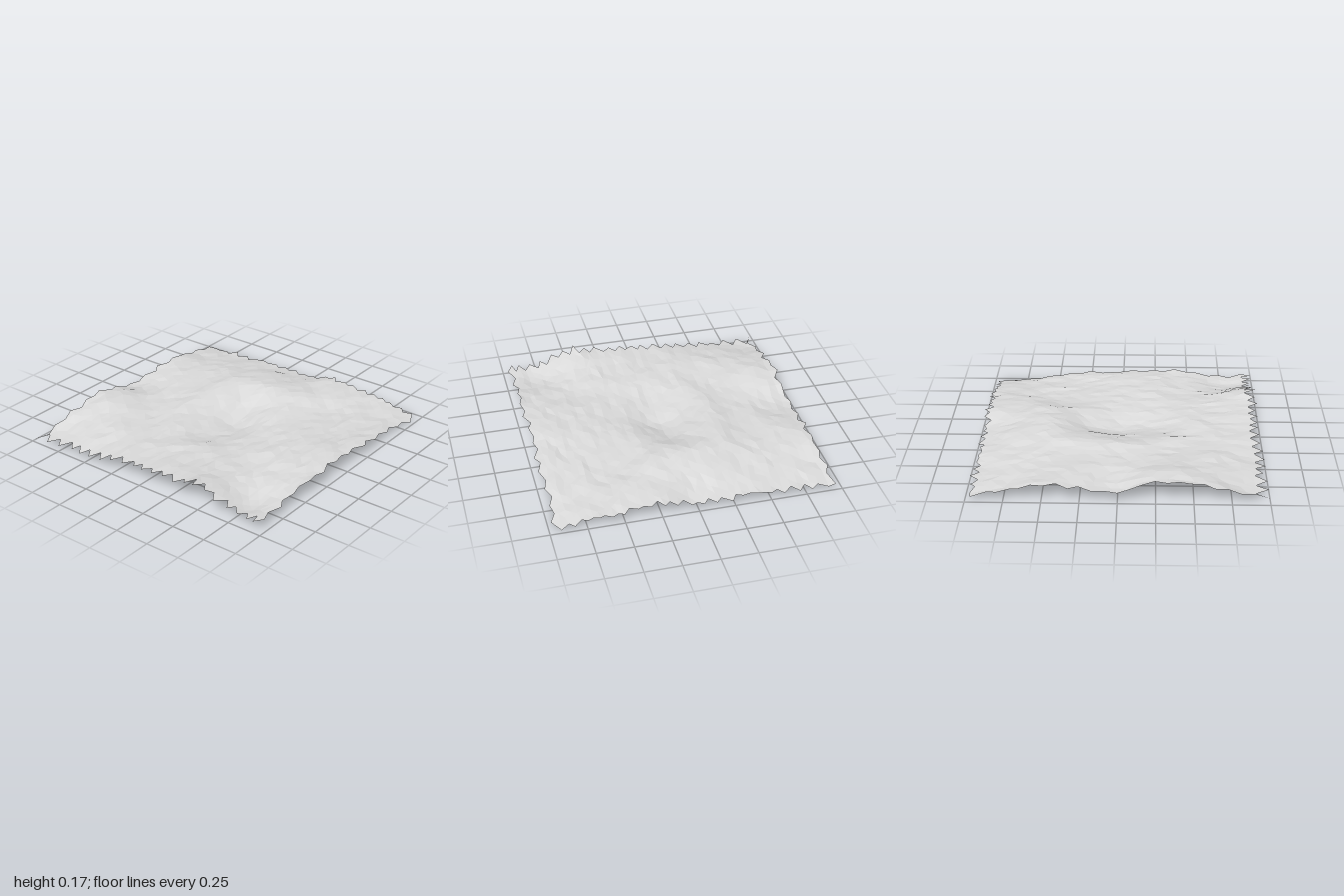
import * as THREE from 'three';

// Coarse heights in hundredths: rows run back to front, columns run -x to +x
const HEIGHTS = [
  [5.5, 10, 14, 15.5, 8, 11, 12.5, 8.5, 4],
  [6, 10.5, 14, 14.5, 10, 12, 12.5, 8.5, 4.5],
  [7.5, 11.5, 12.5, 11.5, 12, 13, 13, 10, 6],
  [11, 12.5, 12, 12, 12.5, 14.5, 15.5, 11.5, 6.5],
  [14, 13.5, 12.5, 7.5, 6, 9.5, 16.5, 12, 6.5],
  [15.5, 13.5, 12, 10, 9.5, 12, 13.5, 12.5, 11],
  [18, 14, 11.5, 12, 12, 10.5, 9.5, 9.5, 8.5],
  [10, 7, 11, 12.5, 13, 11, 9, 7.5, 6.5],
  [10, 8, 12, 12, 11, 10, 8, 3.5, 2],
];

// Local crests and dips: centre x, z, radius x, z, height
const CRESTS = [
  [0.08, -0.36, 0.22, 0.07, 0.016],
  [-0.38, -0.24, 0.16, 0.06, 0.012],
  [-0.4, -0.8, 0.16, 0.14, 0.014],
  [0.4, 0.04, 0.1, 0.12, 0.014],
  [0.25, 0.2, 0.1, 0.08, 0.006],
  [-0.62, -0.5, 0.1, 0.06, 0.012],
  [-0.85, -0.85, 0.12, 0.15, -0.02],
];

// Repeatable random value in 0..1 for a pair of whole numbers
function hash(i, j) {
  const s = Math.sin(i * 127.1 + j * 311.7) * 43758.5453;
  return s - Math.floor(s);
}

function cubic(a, b, c, d, t) {
  return b + 0.5 * t * (c - a + t * (2 * a - 5 * b + 4 * c - d + t * (3 * (b - c) + d - a)));
}

// Smooth surface through the coarse heights, plus the crests
function baseHeight(x, z) {
  const { clamp } = THREE.MathUtils;
  const u = clamp((x + 1) * 4, 0, 8), v = clamp((z + 1) * 4, 0, 8);
  const i = Math.min(7, Math.floor(u)), j = Math.min(7, Math.floor(v));
  const at = (r, c) => HEIGHTS[clamp(r, 0, 8)][clamp(c, 0, 8)] / 100;
  const row = (r) => cubic(at(r, i - 1), at(r, i), at(r, i + 1), at(r, i + 2), u - i);
  let y = cubic(row(j - 1), row(j), row(j + 1), row(j + 2), v - j);
  for (const [cx, cz, rx, rz, h] of CRESTS) {
    y += h * Math.exp(-(((x - cx) / rx) ** 2) - ((z - cz) / rz) ** 2);
  }
  return y;
}

// Fine roughness
function noise(x, z) {
  const i = Math.floor(x), j = Math.floor(z);
  const { lerp } = THREE.MathUtils;
  const a = lerp(hash(i, j), hash(i + 1, j), x - i);
  const b = lerp(hash(i, j + 1), hash(i + 1, j + 1), x - i);
  return lerp(a, b, z - j) - 0.5;
}

// Staggered triangle rows give the sawtooth side edges
function buildTerrain(cols, rows) {
  const points = [], index = [];
  for (let j = 0; j <= rows; j++) {
    const t = j / rows;
    for (let i = 0; i <= cols; i++) {
      const s = i / cols;
      const shift = (j % 2 ? 0.034 : -0.034) * (1 - 0.5 * s);
      // Front and back edges zigzag too
      const tooth = j === 0 || j === rows ? (i % 2 ? 0.014 : -0.014) : 0;
      const x = -0.955 + 1.92 * (s + 0.05 * s * (1 - s)) + shift + (hash(i, j) - 0.5) * 0.03;
      const z = -0.952 + 1.904 * (t + 0.12 * t * (1 - t)) + tooth + (hash(i + 50, j + 9) - 0.5) * 0.026;
      const y = baseHeight(x, z) + 0.016 * noise(x * 7 + 30, z * 9 + 30)
        + 0.014 * noise(x * 15 + 60, z * 24 + 60);
      points.push(x, y, z);
    }
  }
  const w = cols + 1;
  for (let j = 0; j < rows; j++) {
    for (let i = 0; i < cols; i++) {
      const a = j * w + i, b = a + 1, c = a + w, d = c + 1;
      if (j % 2) index.push(a, c, d, a, d, b);
      else index.push(a, c, b, b, c, d);
    }
  }
  const geometry = new THREE.BufferGeometry();
  geometry.setAttribute('position', new THREE.Float32BufferAttribute(points, 3));
  geometry.setIndex(index);

  // Centre it and stand it on the ground
  geometry.computeBoundingBox();
  const box = geometry.boundingBox;
  const mid = box.getCenter(new THREE.Vector3());
  geometry.translate(-mid.x, -box.min.y, -mid.z);
  const flat = geometry.toNonIndexed();
  flat.computeVertexNormals();
  return flat;
}

export function createModel() {
  const group = new THREE.Group();
  group.name = 'terrain';
  const stone = new THREE.MeshStandardMaterial({ color: 0xdadada, flatShading: true, side: THREE.DoubleSide });
  stone.name = 'pale grey';
  const ground = new THREE.Mesh(buildTerrain(24, 42), stone);
  ground.name = 'groundSurface';
  group.add(ground);
  return group;
}
